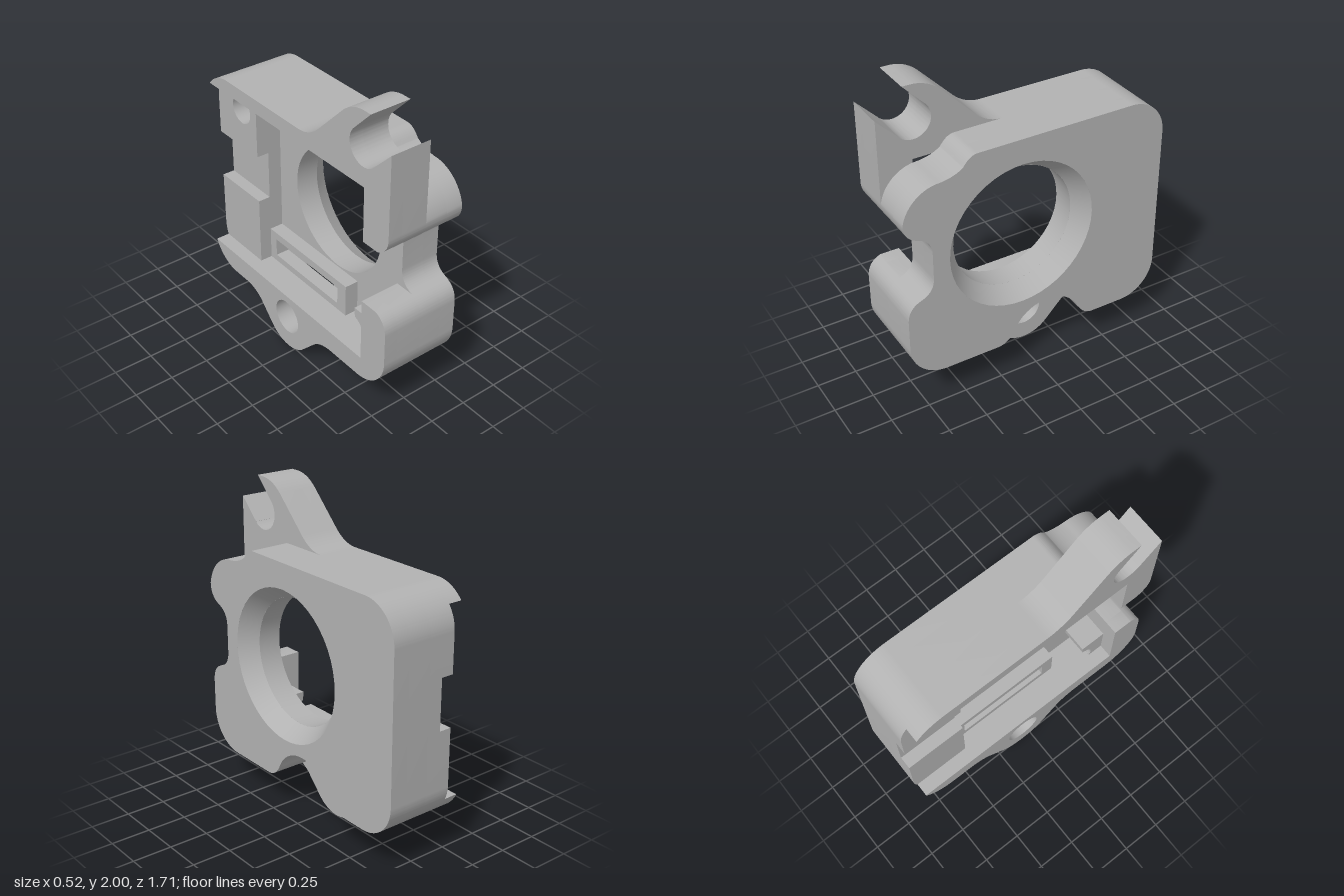
import * as THREE from 'three';
import { toCreasedNormals } from 'three/addons/utils/BufferGeometryUtils.js';

const HOLE = [-0.105, 1.005];      // main bore centre, as (-z, y)
const LUG = [0.065, 0.225];        // lower screw lug centre

function circle(x, y, r) {
  const p = new THREE.Path();
  p.absarc(x, y, r, 0, Math.PI * 2, true);
  return p;
}

function rect(x0, y0, x1, y1, T = THREE.Shape) {
  return new T([[x0, y0], [x1, y0], [x1, y1], [x0, y1]].map(p => new THREE.Vector2(...p)));
}

// Outline of the thick front half, with scalloped corners and bottom relief
function frontShape(holeRadius) {
  const s = new THREE.Shape();
  s.moveTo(-0.28, 0.245);
  s.lineTo(-0.62, 0.245);
  s.absarc(-0.62, 0.48, 0.235, -Math.PI / 2, -Math.PI, true);
  s.lineTo(-0.855, 0.67);
  s.quadraticCurveTo(-0.855, 0.77, -0.77, 0.8);
  s.quadraticCurveTo(-0.685, 0.83, -0.685, 0.92);
  s.lineTo(-0.685, 1.09);
  s.quadraticCurveTo(-0.685, 1.18, -0.77, 1.21);
  s.quadraticCurveTo(-0.855, 1.24, -0.855, 1.33);
  s.bezierCurveTo(-0.835, 1.44, -0.74, 1.53, -0.62, 1.53);
  s.quadraticCurveTo(-0.53, 1.54, -0.48, 1.58);
  s.quadraticCurveTo(-0.44, 1.64, -0.39, 1.64);
  s.lineTo(0.62, 1.64);
  s.absarc(0.62, 1.405, 0.235, Math.PI / 2, 0, true);
  s.lineTo(0.855, 0.48);
  s.absarc(0.62, 0.48, 0.235, 0, -Math.PI / 2, true);
  s.lineTo(0.41, 0.245);
  s.quadraticCurveTo(0.34, 0.245, 0.3, 0.32);
  s.absarc(LUG[0], LUG[1], 0.25, 0.39, Math.PI - 0.39, false);
  s.quadraticCurveTo(-0.21, 0.245, -0.28, 0.245);
  s.holes.push(circle(...HOLE, holeRadius));
  return s;
}

// Upper flange with the slotted ear; inner = the layer carrying the corner block
function upperFlange(inner) {
  const s = new THREE.Shape();
  s.moveTo(-0.65, 1.205);
  s.lineTo(-0.77, 1.205);
  s.quadraticCurveTo(-0.855, 1.24, -0.855, 1.33);
  s.lineTo(-0.855, 1.84);
  s.lineTo(-0.72, 1.705);
  s.absarc(-0.64, 1.785, 0.114, -Math.PI * 0.75, Math.PI / 4, false);
  s.lineTo(-0.69, 2.0);
  s.lineTo(-0.63, 2.0);
  s.quadraticCurveTo(-0.54, 1.995, -0.47, 1.93);
  s.lineTo(-0.26, 1.72);
  s.quadraticCurveTo(-0.18, 1.64, -0.08, 1.64);
  s.lineTo(0.62, 1.64);
  if (inner) {
    s.absarc(0.62, 1.405, 0.235, Math.PI / 2, 0, true);
    s.lineTo(0.855, 1.16);
    s.lineTo(0.46, 1.16);
    s.lineTo(0.46, 1.55);
    s.holes.push(circle(0.61, 1.42, 0.09));
  } else {
    s.absarc(0.62, 1.405, 0.235, Math.PI / 2, 0.665, true);
  }
  s.lineTo(-0.65, 1.55);
  return s;
}

// Lower flange with the round screw lug
function lowerFlange(inner) {
  const s = new THREE.Shape();
  s.moveTo(-0.65, 0.385);
  s.lineTo(-0.65, 0.8);
  s.lineTo(-0.77, 0.8);
  s.quadraticCurveTo(-0.855, 0.77, -0.855, 0.67);
  s.lineTo(-0.855, 0.48);
  s.absarc(-0.62, 0.48, 0.235, Math.PI, Math.PI * 1.5, false);
  s.lineTo(-0.36, 0.245);
  s.quadraticCurveTo(-0.26, 0.24, -0.2, 0.175);
  s.absarc(LUG[0], LUG[1], 0.225, -Math.PI * 0.75, -Math.PI / 4, false);
  s.lineTo(0.33, 0.175);
  s.quadraticCurveTo(0.39, 0.24, 0.49, 0.245);
  s.lineTo(0.62, 0.245);
  if (inner) {
    s.absarc(0.62, 0.48, 0.235, -Math.PI / 2, 0, false);
    s.lineTo(0.855, 0.84);
    s.lineTo(0.46, 0.84);
    s.lineTo(0.46, 0.385);
  } else {
    s.absarc(0.62, 0.48, 0.235, -Math.PI / 2, -0.416, false);
  }
  s.holes.push(circle(...LUG, 0.113));
  return s;
}

export function createModel() {
  const group = new THREE.Group();
  const grey = new THREE.MeshStandardMaterial({ color: 0xb2b2b2 });
  grey.name = 'plain grey';

  // Extrude a (-z, y) shape along x between x0 and x1
  function slab(name, shape, x0, x1) {
    const flat = new THREE.ExtrudeGeometry(shape, { depth: x1 - x0, bevelEnabled: false, curveSegments: 24 });
    const geo = toCreasedNormals(flat, 0.5);
    geo.translate(0, 0, x0);
    geo.rotateY(Math.PI / 2);
    const mesh = new THREE.Mesh(geo, grey);
    mesh.name = name;
    group.add(mesh);
  }

  // Front plate, in two depths around the bore
  slab('frontPlateInner', frontShape(0.395), 0, 0.15);
  slab('frontPlateOuter', frontShape(0.475), 0.15, 0.26);

  // Conical countersink of the bore
  const cone = new THREE.LatheGeometry([new THREE.Vector2(0.395, 0.15), new THREE.Vector2(0.475, 0.26)], 64);
  cone.rotateZ(-Math.PI / 2);
  cone.translate(0, HOLE[1], -HOLE[0]);
  const coneMaterial = grey;
  coneMaterial.side = THREE.DoubleSide;
  const countersink = new THREE.Mesh(cone, coneMaterial);
  countersink.name = 'countersink';
  group.add(countersink);

  // Flange layers around the open rear pocket
  slab('upperFlange', upperFlange(true), -0.17, 0);
  slab('lowerFlange', lowerFlange(true), -0.17, 0);
  slab('upperRim', upperFlange(false), -0.26, -0.17);
  slab('lowerRim', lowerFlange(false), -0.26, -0.17);
  slab('slotFloor', rect(0.46, 0.84, 0.855, 1.16), -0.09, 0);

  // Shelf with a rectangular recess at the pocket's bottom
  const shelf = rect(-0.3, 0.385, 0.46, 0.6);
  shelf.holes.push(rect(-0.22, 0.43, 0.4, 0.55, THREE.Path));
  slab('pocketShelf', shelf, -0.09, 0);

  // Corner post with a rounded bite for a screw
  const post = new THREE.Shape();
  post.moveTo(-0.65, 0.385);
  post.lineTo(-0.55, 0.385);
  post.absarc(-0.46, 0.44, 0.1, Math.PI * 1.15, Math.PI * 0.58, true);
  post.lineTo(-0.48, 0.6);
  post.lineTo(-0.65, 0.6);
  slab('cornerPost', post, -0.17, 0);

  return group;
}
